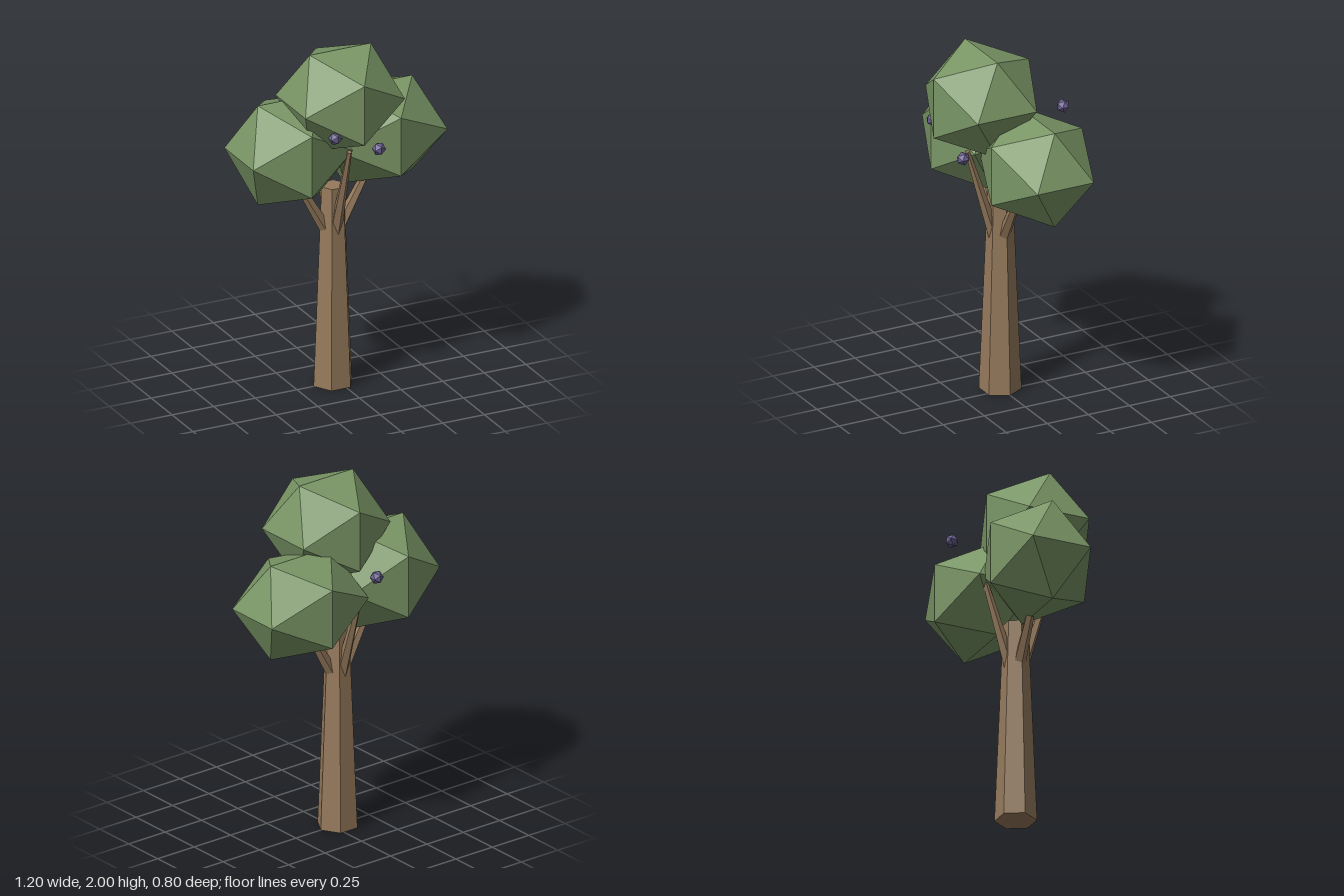
import * as THREE from 'three';

export function createModel() {
  const tree = new THREE.Group();
  tree.name = 'tree';

  const material = (name, color) => {
    const m = new THREE.MeshStandardMaterial({ color, flatShading: true });
    m.name = name;
    return m;
  };
  const bark = material('bark brown', 0x957a5c);
  const leaf = material('leaf green', 0x7a9666);
  const fruit = material('berry purple', 0x6a6090);

  const add = (name, geometry, mat, position, scale = [1, 1, 1]) => {
    const mesh = new THREE.Mesh(geometry, mat);
    mesh.name = name;
    mesh.position.set(...position);
    mesh.scale.set(...scale);
    tree.add(mesh);
    return mesh;
  };

  // Tapered six-sided trunk with corners on the x axis
  const trunkX = -0.035;
  const trunkHeight = 1.16;
  add('trunk',
    new THREE.CylinderGeometry(0.068, 0.115, trunkHeight, 6, 1, false, Math.PI / 2),
    bark, [trunkX, trunkHeight / 2, 0]);

  // Four branches leaning out of the trunk: [name, turn, base out, top out, top y]
  const branches = [
    ['frontBranch', 0, 0.033, 0.2, 1.43],
    ['leftBranch', Math.PI / 2, 0.035, 0.29, 1.35],
    ['backBranch', Math.PI, 0.033, 0.2, 1.43],
    ['rightBranch', -Math.PI / 2, 0.035, 0.29, 1.35],
  ];
  for (const [name, turn, baseOut, topOut, topY] of branches) {
    const baseY = 0.9;
    const rise = topY - baseY;
    const out = topOut - baseOut;
    const geometry = new THREE.CylinderGeometry(0.014, 0.036, Math.hypot(rise, out), 5);
    geometry.rotateX(Math.atan2(out, rise));
    geometry.translate(0, (baseY + topY) / 2, (baseOut + topOut) / 2);
    geometry.rotateY(turn);
    add(name, geometry, bark, [trunkX, 0, 0]);
  }

  // Faceted crowns, each slightly squashed
  const facetedBall = new THREE.IcosahedronGeometry(1, 0);
  add('topCrown', facetedBall, leaf, [-0.045, 1.72, 0.11], [0.351, 0.329, 0.341]);
  add('rightCrown', facetedBall, leaf, [-0.3, 1.42, 0], [0.352, 0.341, 0.329]);
  add('leftCrown', facetedBall, leaf, [0.267, 1.405, -0.06], [0.391, 0.323, 0.325]);

  // Small berries around the crowns
  const berries = [[-0.185, 1.59, 0.33], [0.095, 1.46, 0.295], [-0.01, 1.59, -0.37]];
  berries.forEach((p, i) =>
    add(`berry${i + 1}`, facetedBall, fruit, p, [0.038, 0.038, 0.038]));

  return tree;
}
